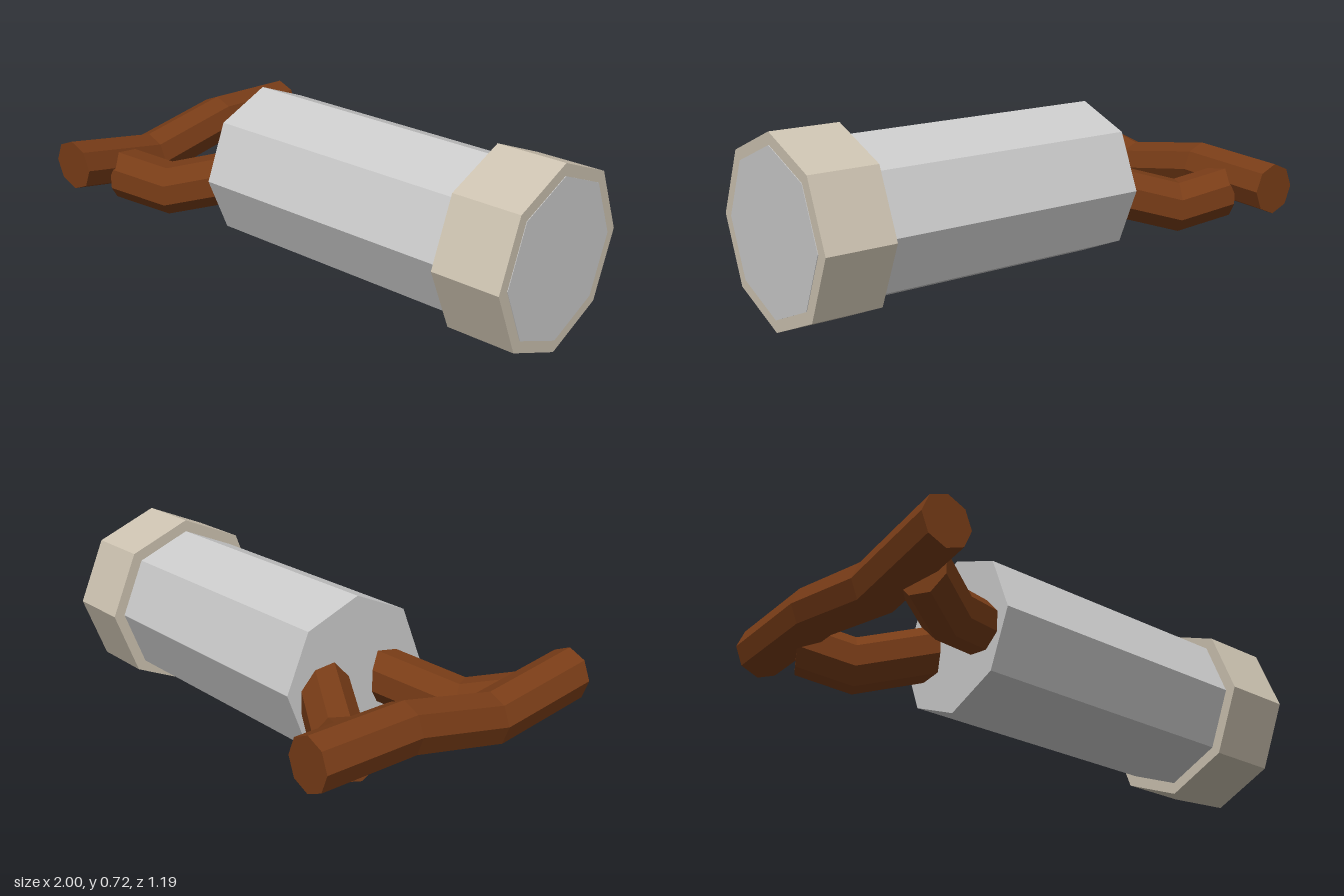
import * as THREE from 'three';

const AXIS_Y = 0.362;
const grey = new THREE.MeshStandardMaterial({ color: 0xcccccc, flatShading: true });
const beige = new THREE.MeshStandardMaterial({ color: 0xcdc3b1, flatShading: true });
const brown = new THREE.MeshStandardMaterial({ color: 0x783c17, flatShading: true });

// Octagonal drum lying along x, with a corner at the top
function drum(name, radius, x0, x1, material) {
  const geometry = new THREE.CylinderGeometry(radius, radius, x1 - x0, 8);
  geometry.rotateZ(-Math.PI / 2);
  geometry.translate((x0 + x1) / 2, AXIS_Y, -0.003);
  const mesh = new THREE.Mesh(geometry, material);
  mesh.name = name;
  return mesh;
}

// Octagonal rod running in plan from a to b ([x, z]); each stop is [fraction along, height]
function bentRod(name, a, b, stops, turn = 0, tall = 1) {
  const n = stops.length - 1;
  const dx = b[0] - a[0], dz = b[1] - a[1];
  const geometry = new THREE.CylinderGeometry(0.1, 0.1, 1, 8, n, false, turn);
  const p = geometry.attributes.position;
  const length = Math.hypot(dx, dz);
  for (let i = 0; i < p.count; i++) {
    const [t, height] = stops[Math.round((p.getY(i) + 0.5) * n)];
    p.setXYZ(i, p.getX(i), height - p.getZ(i) * tall, t * length);
  }
  geometry.rotateY(Math.atan2(dx, dz));
  geometry.translate(a[0], 0, a[1]);
  geometry.computeVertexNormals();
  const mesh = new THREE.Mesh(geometry, brown);
  mesh.name = name;
  return mesh;
}

export function createModel() {
  const model = new THREE.Group();
  model.name = 'model';

  // Main barrel and the collar around its end
  model.add(drum('barrel', 0.313, -0.42, 1, grey));
  model.add(drum('collar', 0.36, 0.72, 0.998, beige));

  // Gently crooked crossbar
  model.add(bentRod('crossbar', [-0.9, -0.594], [-0.9, 0.594],
    [[0, 0.353], [0.333, 0.376], [0.667, 0.312], [1, 0.39]]));

  // Two bent struts joining the barrel to the crossbar
  const struts = [['leftStrut', 0.132, 0.4], ['rightStrut', -0.138, -0.385]];
  for (const [name, z0, z1] of struts) {
    model.add(bentRod(name, [-0.4, z0], [-0.86, z1],
      [[0, 0.345], [0.59, 0.261], [1, 0.32]], Math.PI / 8, 1.08));
  }
  return model;
}
